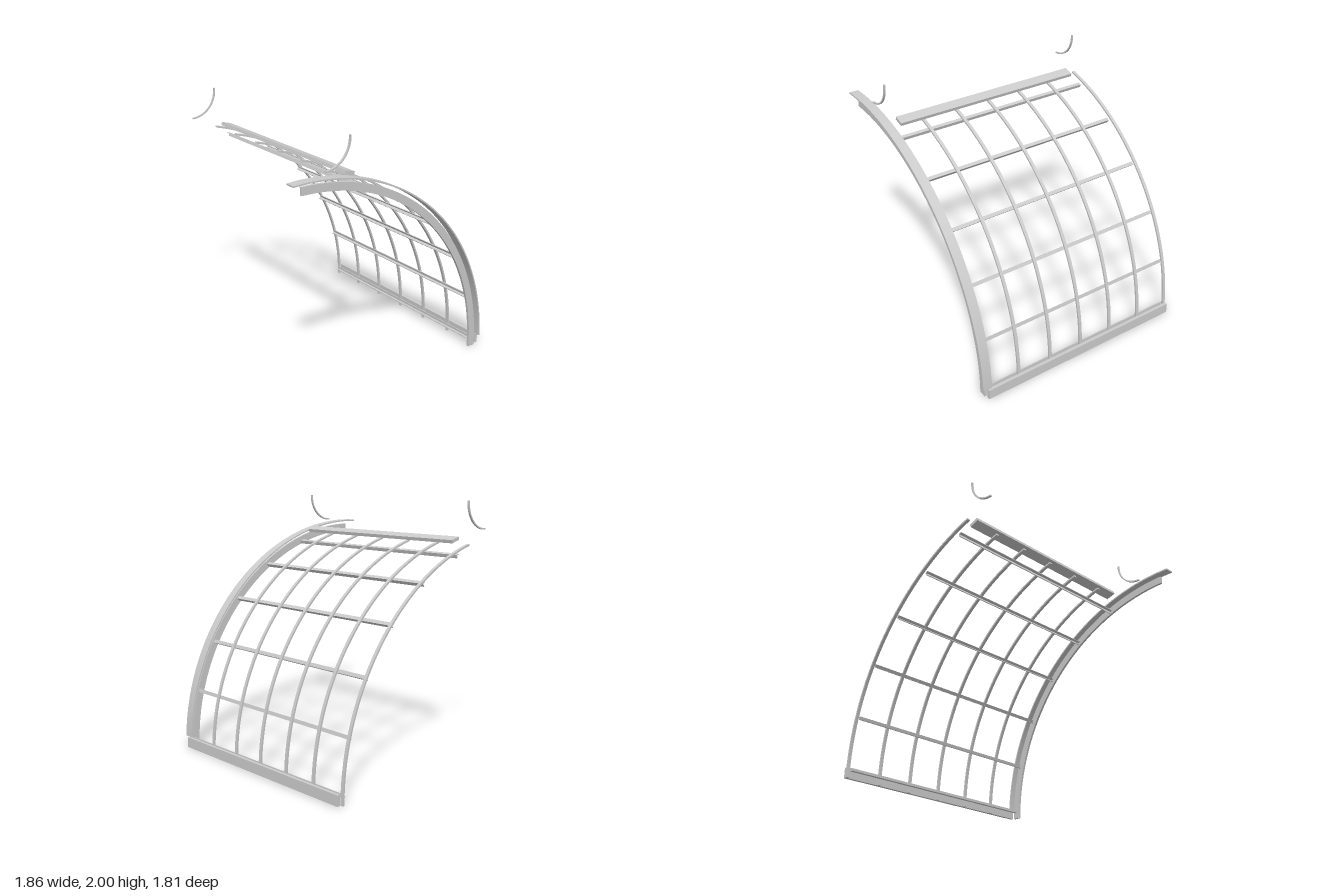
import * as THREE from 'three';
import { toCreasedNormals } from 'three/addons/utils/BufferGeometryUtils.js';

const CX = -0.847; // x of the axis that every curved member is swept around (y = 0)
const rad = THREE.MathUtils.degToRad;

export function createModel() {
  const group = new THREE.Group();
  const material = new THREE.MeshStandardMaterial({ color: 0xcccccc });

  const add = (name, geometry) => {
    const mesh = new THREE.Mesh(geometry, material);
    mesh.name = name;
    group.add(mesh);
    return mesh;
  };

  const extrude = (shape, z0, z1) => {
    const g = new THREE.ExtrudeGeometry(shape, { depth: z1 - z0, bevelEnabled: false, curveSegments: 48 });
    g.translate(0, 0, z0);
    return toCreasedNormals(g, rad(30));
  };

  // Curved flat bar: ring sector between two radii, angles in degrees
  const arcBar = (name, x, y, r0, r1, a0, a1, z0, z1) => {
    const s = new THREE.Shape();
    s.absarc(x, y, r1, rad(a0), rad(a1), false);
    s.absarc(x, y, r0, rad(a1), rad(a0), true);
    s.closePath();
    add(name, extrude(s, z0, z1));
  };

  // Put a straight member on the curve and turn it to follow
  const place = (mesh, angle, r, z) => {
    const a = rad(angle);
    mesh.position.set(CX + r * Math.cos(a), r * Math.sin(a), z);
    mesh.rotation.z = a;
  };

  const rail = (name, angle, r, thickness, width, z0, z1) =>
    place(add(name, new THREE.BoxGeometry(thickness, width, z1 - z0)), angle, r, (z0 + z1) / 2);

  // Front arch: deep web with a wide, thin cap strip over it
  arcBar('frontArchWeb', CX, 0, 1.67, 1.73, 0, 90, 0.855, 0.875);
  arcBar('frontArchCap', CX, 0, 1.754, 1.765, 2.9, 92.8, 0.83, 0.905);

  // Curved ribs, evenly spaced towards the rear
  for (let i = 0; i < 6; i++) {
    const z = 0.571 - i * 0.2925;
    arcBar('rib', CX, 0, 1.724, 1.738, 0, 75.5, z - 0.0125, z + 0.0125);
  }

  // L-section purlins under the ribs, from the sill up; the upper ones sit deeper
  const L = 0.027, t = 0.006;
  const angleSection = new THREE.Shape([
    [0, 0], [0, L], [-t, L], [-t, t], [-L, t], [-L, 0],
  ].map(([x, y]) => new THREE.Vector2(x, y)));
  [1.719, 1.72, 1.72, 1.715, 1.705, 1.7].forEach((r, i) => {
    const angle = i === 0 ? 1.6 : 1 + i * 14;
    place(add('purlin', extrude(angleSection, -0.88, 0.865)), angle, r, 0);
  });

  // Ridge and sill rails
  rail('ridgeRail', 74.5, 1.773, 0.026, 0.083, -0.805, 0.78);
  rail('sillRail', 1.46, 1.765, 0.026, 0.081, -0.89, 0.865);

  // Curved hooks above the ridge, front and rear
  for (const z of [0.845, -0.876])
    arcBar('hook', -0.634, 1.988, 0.201, 0.212, 270, 363, z - 0.0075, z + 0.0075);

  return group;
}
